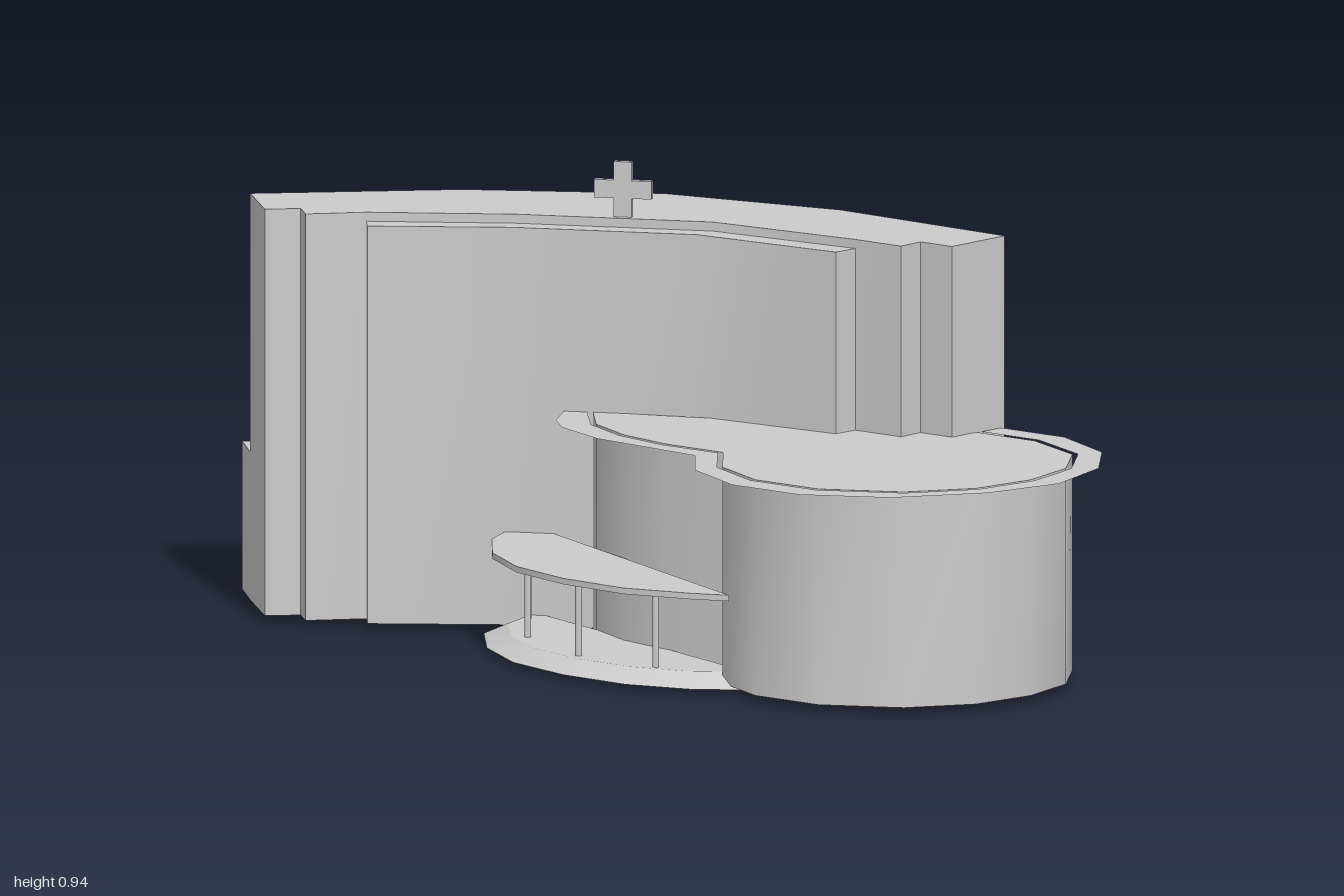
import * as THREE from 'three';
import { mergeGeometries, toCreasedNormals } from 'three/addons/utils/BufferGeometryUtils.js';

const material = new THREE.MeshStandardMaterial({ color: 0xcccccc, side: THREE.DoubleSide });

// Vertical (or sloping) wall along plan points [x, z]; topPts lets it lean.
function wall(pts, y0, y1, closed = false, topPts = pts) {
  const v = [];
  const n = pts.length;
  for (let i = 0; i < (closed ? n : n - 1); i++) {
    const j = (i + 1) % n;
    const a = [pts[i][0], y0, pts[i][1]], b = [pts[j][0], y0, pts[j][1]];
    const c = [topPts[j][0], y1, topPts[j][1]], d = [topPts[i][0], y1, topPts[i][1]];
    v.push(...a, ...b, ...c, ...a, ...c, ...d);
  }
  const g = new THREE.BufferGeometry();
  g.setAttribute('position', new THREE.Float32BufferAttribute(v, 3));
  return toCreasedNormals(g, 0.7);
}

// Flat horizontal plate over a plan outline.
function plate(pts, y) {
  const shape = new THREE.Shape(pts.map(([x, z]) => new THREE.Vector2(x, -z)));
  const g = new THREE.ShapeGeometry(shape).rotateX(-Math.PI / 2).translate(0, y, 0).toNonIndexed();
  g.deleteAttribute('uv');
  return g;
}

// Plan outline pushed sideways by d (to the outer side of a left-to-right front).
function offset(pts, d) {
  return pts.map((p, i) => {
    const a = pts[Math.max(i - 1, 0)], b = pts[Math.min(i + 1, pts.length - 1)];
    const dx = b[0] - a[0], dz = b[1] - a[1], l = Math.hypot(dx, dz);
    return [p[0] - (dz / l) * d, p[1] + (dx / l) * d];
  });
}

export function createModel() {
  const model = new THREE.Group();
  const add = (name, ...geos) => {
    const mesh = new THREE.Mesh(geos.length > 1 ? mergeGeometries(geos) : geos[0], material);
    mesh.name = name;
    model.add(mesh);
    return mesh;
  };
  const G = 0.015, TOP = 0.825, DECK = 0.445;

  // Tall curved block: stepped front, right end, set-back rear
  const front = [
    [-0.91, 0.22], [-0.78, 0.335], [-0.73, 0.285], [-0.685, 0.325], [-0.605, 0.235],
    [-0.36, 0.065], [-0.01, -0.11], [0.325, -0.14], [0.44, -0.14], [0.44, -0.2], [0.52, -0.2],
  ];
  const setback = [[0.527, -0.355], [0.1, -0.37], [-0.28, -0.29], [-0.615, -0.075], [-0.91, 0.22]];
  add('towerWalls', wall([...front, setback[0]], G, TOP), wall(setback, 0.27, TOP));
  add('towerRoof', plate([...front, ...setback.slice(0, -1)], TOP));

  // Shallow bay standing proud of the front
  const bay = [[-0.605, 0.235], [-0.57, 0.275], [-0.34, 0.105], [-0.01, -0.06], [0.32, -0.085], [0.325, -0.14]];
  const bayBack = [[-0.01, -0.11], [-0.36, 0.065]];
  add('frontBay', wall(bay, G, 0.807), plate([...bay, ...bayBack], 0.807));

  // Low rear wing with a slightly inset raised roof
  const rear = [[0.53, -0.478], [0.1, -0.478], [-0.325, -0.39], [-0.675, -0.175], [-1, 0.135]];
  const rearInset = offset(rear, -0.008);
  const inner = [...setback].reverse();
  add('rearWing', wall([setback[0], ...rear, setback[4]], G, 0.27), plate([...rear, ...inner], 0.27));
  add('rearWingRoof', wall([setback[0], ...rearInset, setback[4]], 0.27, 0.31), plate([...rearInset, ...inner], 0.31));

  // Rounded pavilion joined to a curved entrance front
  const pavilion = [
    [-0.2, 0.03], [-0.11, 0.13], [0.005, 0.185], [0.13, 0.21], [0.275, 0.21], [0.375, 0.335],
    [0.51, 0.4], [0.67, 0.4], [0.82, 0.32], [0.905, 0.2], [0.93, 0.06],
    [0.905, -0.08], [0.82, -0.205], [0.67, -0.272], [0.527, -0.272],
  ];
  add('pavilionWall', wall(pavilion, G, DECK));
  add('pavilionRoof', plate(pavilion, DECK));

  // Thin eave around the pavilion, separated by a narrow gap
  const eave = [
    [-0.26, 0.04], [-0.2, 0.145], [-0.14, 0.2], [-0.01, 0.25], [0.255, 0.272], [0.355, 0.395],
    [0.51, 0.472], [0.68, 0.472], [0.84, 0.385], [0.955, 0.225], [1, 0.06],
    [0.955, -0.12], [0.85, -0.26], [0.69, -0.34], [0.53, -0.34],
  ];
  add('pavilionEave', plate([...eave, ...offset(pavilion, 0.011).reverse()], DECK));

  // Entrance canopy slab
  const canopy = [
    [-0.49, -0.03], [-0.36, 0.1], [-0.325, 0.19], [-0.23, 0.305], [-0.1, 0.39],
    [0.05, 0.432], [0.21, 0.44], [0.35, 0.4], [0.42, 0.37],
  ];
  add('entranceCanopy', wall(canopy, 0.188, 0.2, true), plate(canopy, 0.2), plate(canopy, 0.188));

  // Entrance base with sloping rim
  const base = [
    [-0.38, 0.04], [-0.345, 0.19], [-0.24, 0.31], [-0.1, 0.4],
    [0.06, 0.442], [0.22, 0.446], [0.36, 0.405], [0.47, 0.32],
  ];
  const baseTop = base.map(([x, z]) => [0.045 + (x - 0.045) * 0.85, 0.18 + (z - 0.18) * 0.83]);
  add('entranceBase', wall(base, 0.01, 0.036, true, baseTop), plate(baseTop, 0.036), plate(base, 0.01));

  // Canopy posts
  for (const [x, z] of [[-0.29, 0.12], [-0.165, 0.275], [0.04, 0.37], [0.235, 0.37]]) {
    add('canopyPost', new THREE.CylinderGeometry(0.007, 0.007, 0.19, 10)).position.set(x, 0.095, z);
  }

  // Roof cross
  const cross = add('roofCross',
    new THREE.BoxGeometry(0.036, 0.11, 0.014).translate(0, 0.055, 0),
    new THREE.BoxGeometry(0.115, 0.036, 0.014).translate(0, 0.055, 0));
  cross.position.set(-0.185, TOP, -0.047);
  cross.rotation.y = 0.46;

  return model;
}
